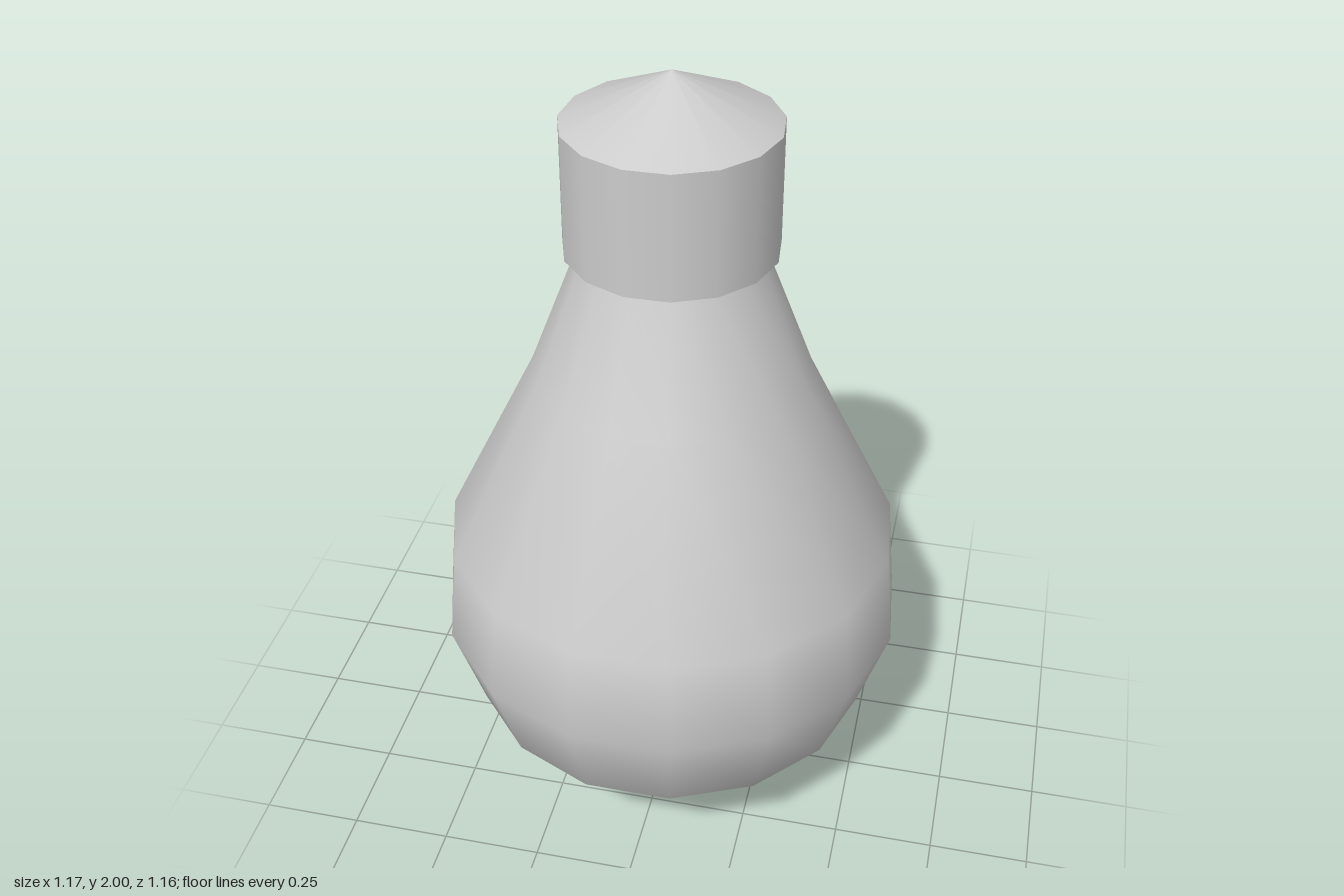
import * as THREE from 'three';

const SIDES = 15;

export function createModel() {
  const model = new THREE.Group();
  model.name = 'lightBulb';
  const material = new THREE.MeshStandardMaterial({ color: 0xcccccc });

  // Turned part: [radius, height] profile from bottom to top, one corner at the back
  const turned = (name, profile) => {
    const points = profile.map(([r, y]) => new THREE.Vector2(r, y));
    const mesh = new THREE.Mesh(new THREE.LatheGeometry(points, SIDES, Math.PI), material);
    mesh.name = name;
    return mesh;
  };

  // Smooth pear-shaped glass, narrowing into the cap
  model.add(turned('glassBulb', [
    [0, 0], [0.347, 0.118], [0.512, 0.298], [0.587, 0.535],
    [0.563, 0.782], [0.337, 1.245], [0.212, 1.573],
  ]));

  // Cap: separate pieces keep its rims sharp
  const cap = new THREE.Group();
  cap.name = 'cap';
  cap.add(
    turned('capUnderside', [[0, 1.573], [0.253, 1.573]]),
    turned('capWall', [[0.253, 1.573], [0.253, 1.88]]),
    turned('capTip', [[0.253, 1.88], [0, 2]]),
  );
  model.add(cap);

  // Centre the odd-sided outline in depth
  model.children.forEach((part) => { part.position.z = 0.006; });
  return model;
}
